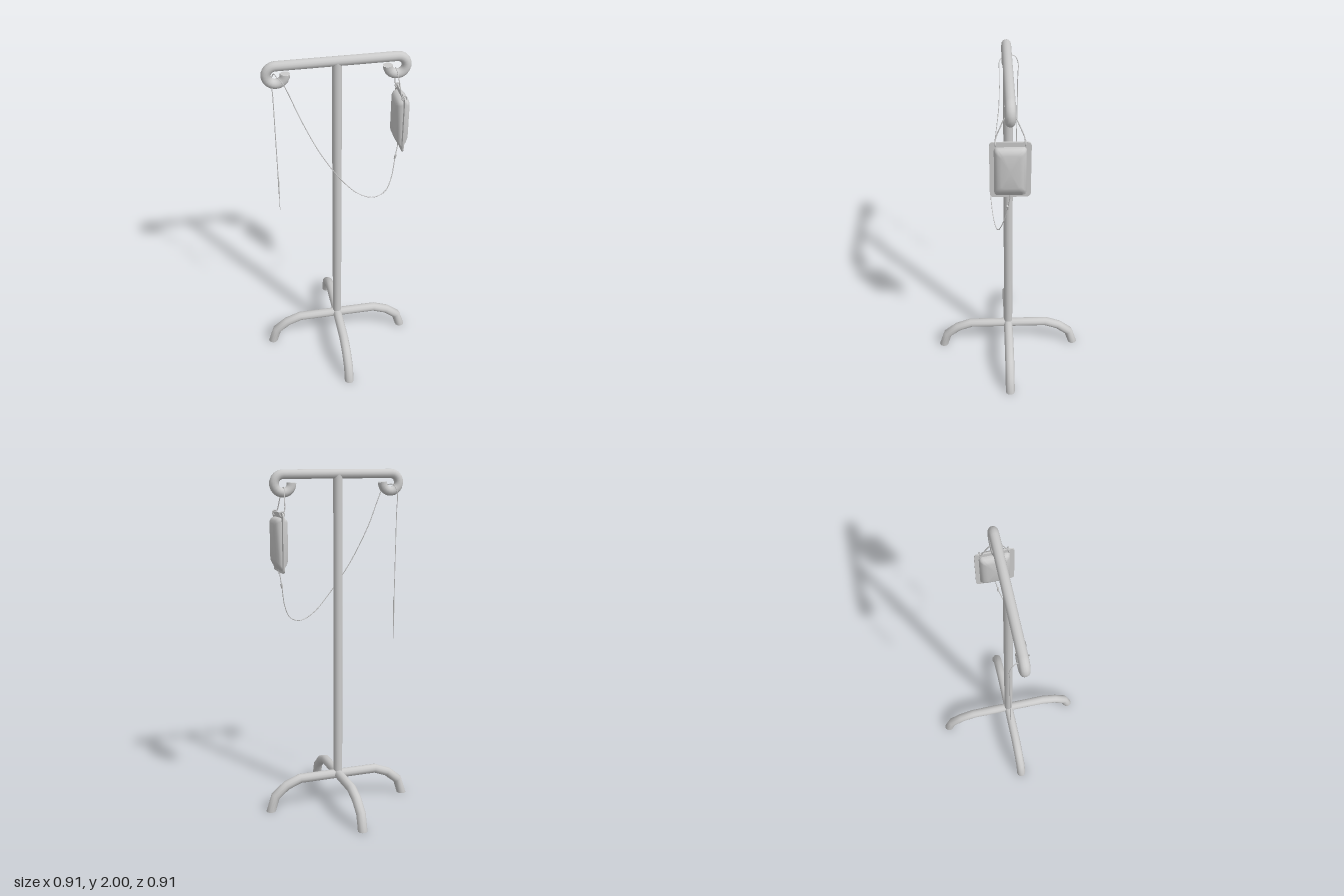
import * as THREE from 'three';
import { toCreasedNormals } from 'three/addons/utils/BufferGeometryUtils.js';

const V = (x, y, z) => new THREE.Vector3(x, y, z);
const grey = new THREE.MeshStandardMaterial({ color: 0xcccccc });

// Polyline path with one ring at every corner, turned halfway between the two runs
class Polyline extends THREE.Curve {
  constructor(points) { super(); this.points = points; this.n = points.length - 1; }
  getUtoTmapping(u) { return u; }
  getPoint(t, out = V(0, 0, 0)) {
    const i = Math.min(Math.floor(t * this.n + 1e-6), this.n - 1);
    return out.lerpVectors(this.points[i], this.points[i + 1], t * this.n - i);
  }
  getTangent(t, out = V(0, 0, 0)) {
    const i = Math.round(t * this.n), p = this.points;
    out.set(0, 0, 0);
    if (i > 0) out.add(p[i].clone().sub(p[i - 1]).normalize());
    if (i < this.n) out.add(p[i + 1].clone().sub(p[i]).normalize());
    return out.normalize();
  }
}

function part(parent, name, geometry, x = 0, y = 0, z = 0) {
  const mesh = new THREE.Mesh(geometry, grey);
  mesh.name = name;
  mesh.position.set(x, y, z);
  parent.add(mesh);
  return mesh;
}

const pipe = (points, radius, sides) => {
  const path = new Polyline(points);
  return new THREE.TubeGeometry(path, path.n, radius, sides);
};
const cord = (points, radius, segments) =>
  new THREE.TubeGeometry(new THREE.CatmullRomCurve3(points.map(p => V(...p))), segments, radius, 6);

// Rounded rectangle outline as a list of corner points
function outline(halfWidth, low, high, r, z) {
  const pts = [];
  [[1, 1], [-1, 1], [-1, -1], [1, -1]].forEach(([sx, sy], q) => {
    for (let k = 0; k <= 4; k++) {
      const a = (q + k / 4) * Math.PI / 2;
      pts.push([sx * (halfWidth - r) + r * Math.cos(a),
        (sy > 0 ? high - r : low + r) + r * Math.sin(a), z]);
    }
  });
  return pts;
}

// Closed skin over outlines stacked along z
function loft(rings) {
  const n = rings[0].length, index = [];
  for (let i = 0; i < rings.length - 1; i++) {
    for (let j = 0; j < n; j++) {
      const a = i * n + j, b = i * n + (j + 1) % n;
      index.push(a, b, b + n, a, b + n, a + n);
    }
  }
  const g = new THREE.BufferGeometry();
  g.setAttribute('position', new THREE.Float32BufferAttribute(rings.flat(2), 3));
  g.setIndex(index);
  return toCreasedNormals(g, 0.7);
}

// Four bent legs made of two crossing arches
function addLegs(root) {
  const side = [[0.425, -0.02], [0.423, 0.0], [0.395, 0.092], [0.325, 0.15], [0.24, 0.183]];
  const arch = [...side, ...side.map(([x, y]) => [-x, y]).reverse()].map(([x, y]) => V(x, y, 0));
  for (let k = 0; k < 2; k++) {
    const legs = new THREE.Group();
    legs.name = k ? 'frontAndBackLegs' : 'sideLegs';
    legs.rotation.y = k * Math.PI / 2;
    const g = pipe(arch, 0.028, 12), pos = g.attributes.position;
    for (let i = 0; i < pos.count; i++) pos.setY(i, Math.max(0, pos.getY(i)));
    part(legs, 'legArch', g);
    for (const s of [-1, 1]) {
      part(legs, 'footCap', new THREE.CircleGeometry(0.028, 12), s * 0.424, 0.0005, 0).rotation.x = Math.PI / 2;
    }
    root.add(legs);
  }
}

// Top bar with both ends curled into hooks
function addHanger(root) {
  const curl = [], r = 0.05, cx = 0.32, cy = 1.924;
  for (let k = 0; k <= 14; k++) {
    const a = Math.PI / 2 - (k / 14) * 1.52 * Math.PI;
    curl.push([cx + r * Math.cos(a), cy + r * Math.sin(a)]);
  }
  const pts = [...curl.slice().reverse(), ...curl.map(([x, y]) => [-x, y])];
  part(root, 'hookedBar', pipe(pts.map(([x, y]) => V(x, y, 0)), 0.0265, 14));
  for (const s of [-1, 1]) {
    const [x, y] = curl[14];
    part(root, 'hookEnd', new THREE.CircleGeometry(0.0265, 14), s * x, y, 0).rotation.x = -Math.PI / 2;
  }
}

// Flat welded rim, padded body, eyelets and hanging string
function addBag(root) {
  const bag = new THREE.Group();
  bag.name = 'fluidBag';
  bag.position.x = 0.348;
  root.add(bag);

  const dot = z => outline(0, 1.61, 1.61, 0, z);
  const rim = z => outline(0.106, 1.44, 1.77, 0.022, z);
  part(bag, 'bagRim', loft([dot(-0.004), rim(-0.004), rim(0.004), dot(0.004)])).rotation.y = Math.PI / 2;

  // half thickness, half width, bottom, top, corner radius
  const steps = [[0.004, 0.083, 1.452, 1.743, 0.02], [0.022, 0.077, 1.478, 1.738, 0.02],
    [0.034, 0.064, 1.497, 1.727, 0.018], [0.039, 0.046, 1.515, 1.71, 0.015]];
  const ring = (s, [t, w, lo, hi, r]) => outline(w, lo, hi, r, s * t);
  const body = [dot(-0.039), ...steps.slice().reverse().map(s => ring(-1, s)),
    ...steps.map(s => ring(1, s)), dot(0.039)];
  part(bag, 'bagBody', loft(body)).rotation.y = Math.PI / 2;

  for (const s of [-1, 1]) {
    part(bag, 'eyelet', new THREE.TorusGeometry(0.013, 0.004, 6, 14), 0, 1.763, s * 0.075);
  }
  part(bag, 'outlet', new THREE.CylinderGeometry(0.006, 0.005, 0.03, 8), 0, 1.442, 0);

  part(root, 'hangingString', cord([[0.348, 1.75, 0.075], [0.333, 1.78, 0.073], [0.325, 1.84, 0.05],
    [0.318, 1.89, 0.025], [0.315, 1.904, 0], [0.318, 1.89, -0.025], [0.325, 1.84, -0.05],
    [0.333, 1.78, -0.073], [0.348, 1.75, -0.075]], 0.003, 40));
}

// Thin drip line sagging from the bag, over the other hook and down
function addDripLine(root) {
  part(root, 'dripLine', cord([[0.348, 1.44, 0], [0.332, 1.355, 0.012], [0.307, 1.23, 0.04],
    [0.27, 1.16, 0.062], [0.205, 1.137, 0.077], [0.12, 1.175, 0.092], [0.02, 1.28, 0.1],
    [-0.1, 1.46, 0.075], [-0.2, 1.67, 0.045], [-0.265, 1.84, 0.04], [-0.29, 1.895, 0.038],
    [-0.312, 1.912, 0.01], [-0.325, 1.91, -0.04], [-0.335, 1.87, -0.064], [-0.333, 1.75, -0.064],
    [-0.33, 1.4, -0.06], [-0.328, 1.18, -0.058]], 0.0025, 160));
  part(root, 'dripChamber', new THREE.CylinderGeometry(0.007, 0.005, 0.028, 8), 0.332, 1.355, 0.012).rotation.z = -0.2;
  part(root, 'lineConnector', new THREE.CylinderGeometry(0.004, 0.0035, 0.12, 8), -0.328, 1.19, -0.058);
  part(root, 'needle', new THREE.CylinderGeometry(0.002, 0.0015, 0.12, 6), -0.328, 1.075, -0.058);
}

export function createModel() {
  const root = new THREE.Group();
  root.name = 'dripStand';
  part(root, 'pole', new THREE.CylinderGeometry(0.0265, 0.0265, 1.79, 14), 0, 1.075, 0);
  addLegs(root);
  addHanger(root);
  addBag(root);
  addDripLine(root);
  return root;
}
